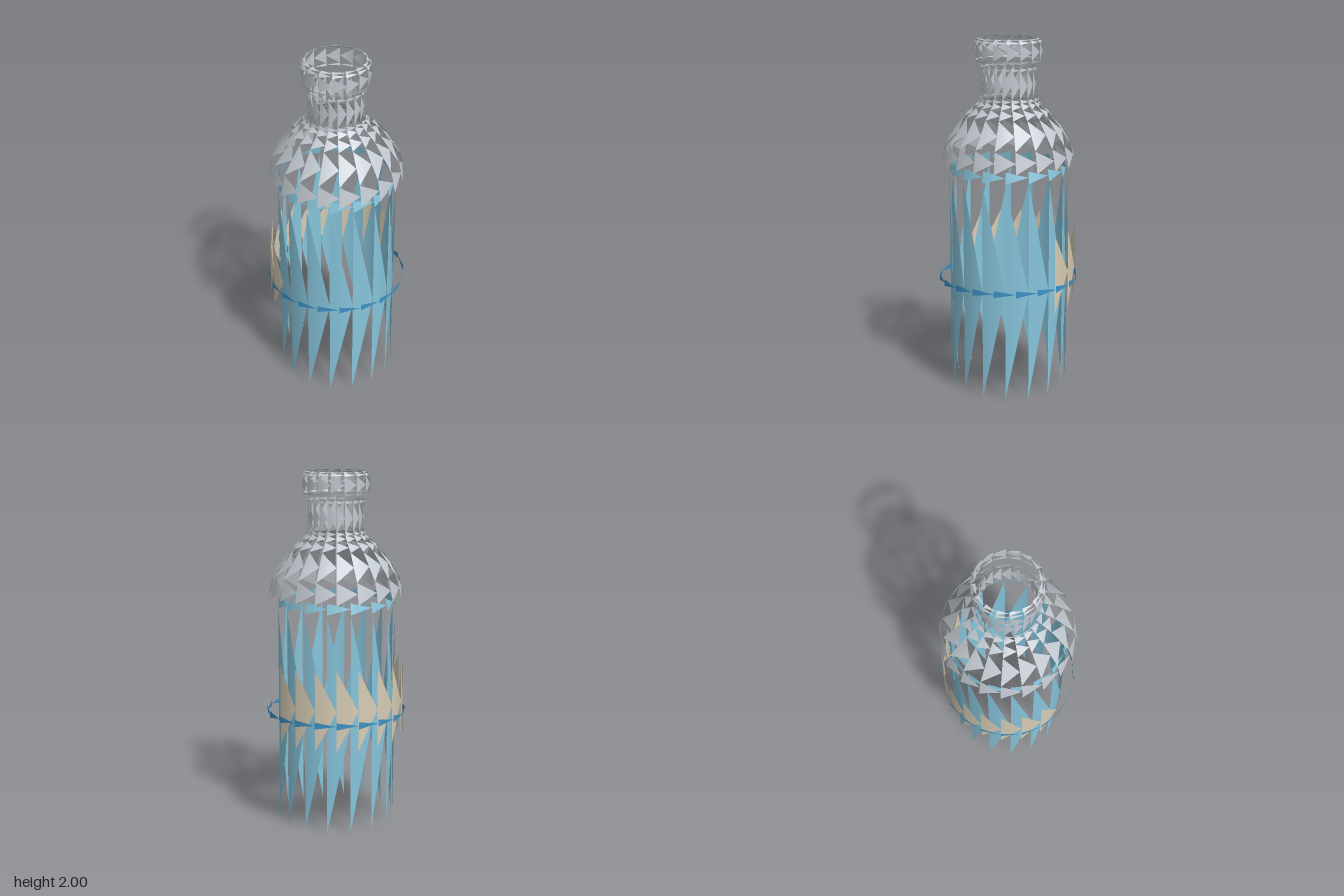
import * as THREE from 'three';

const mat = (name, color) => {
  const m = new THREE.MeshStandardMaterial({ color, side: THREE.DoubleSide });
  m.name = name;
  return m;
};

// Bands of pennant triangles around the y axis: each has one upright edge on the
// profile segment and a tip at mid-height, one angular step further on.
function pennants(profile, segments, first = 0, count = segments) {
  const pos = [], nor = [];
  const step = (Math.PI * 2) / segments;
  for (let j = 0; j < profile.length - 1; j++) {
    const [r0, y0] = profile[j], [r1, y1] = profile[j + 1];
    const len = Math.hypot(r1 - r0, y1 - y0);
    const nr = (y1 - y0) / len, ny = (r0 - r1) / len;
    const add = (r, y, a) => {
      pos.push(r * Math.sin(a), y, r * Math.cos(a));
      nor.push(nr * Math.sin(a), ny, nr * Math.cos(a));
    };
    for (let i = first; i < first + count; i++) {
      add(r0, y0, i * step);
      add((r0 + r1) / 2, (y0 + y1) / 2, (i + 1) * step);
      add(r1, y1, i * step);
    }
  }
  const g = new THREE.BufferGeometry();
  g.setAttribute('position', new THREE.Float32BufferAttribute(pos, 3));
  g.setAttribute('normal', new THREE.Float32BufferAttribute(nor, 3));
  return g;
}

export function createModel() {
  const group = new THREE.Group();
  group.name = 'bottle';
  const glass = mat('pale blue', 0x87c5dc);
  const metal = mat('silver grey', 0xc2c9d0);
  const paper = mat('beige', 0xd8cdb5);
  const trim = mat('strong blue', 0x3d93c8);

  const part = (name, material, ...args) => {
    const mesh = new THREE.Mesh(pennants(...args), material);
    mesh.name = name;
    group.add(mesh);
  };

  // Body and the narrow band above it
  part('body', glass, [[0.335, 0], [0.335, 1.235]], 16);
  part('bodyTopBand', glass, [[0.335, 1.24], [0.32, 1.305]], 16);

  // Label on the back half and the ring around it
  part('label', paper, [[0.385, 0.485], [0.385, 0.94]], 20, 5, 10);
  part('ring', trim, [[0.395, 0.615], [0.395, 0.655]], 20);

  // Domed shoulder
  part('shoulder', metal,
    [[0.383, 1.3], [0.356, 1.42], [0.25, 1.57], [0.195, 1.62], [0.16, 1.655]], 20);

  // Neck with collar and lip
  part('neckCollar', metal, [[0.172, 1.65], [0.165, 1.675]], 20);
  part('neck', metal, [[0.156, 1.665], [0.156, 1.83]], 20);
  part('neckLip', metal, [[0.165, 1.825], [0.163, 1.845]], 20);

  // Open cap with a rounded top edge
  part('cap', metal,
    [[0.188, 1.87], [0.192, 1.885], [0.192, 1.975], [0.18, 1.993], [0.16, 2]], 16);

  return group;
}
